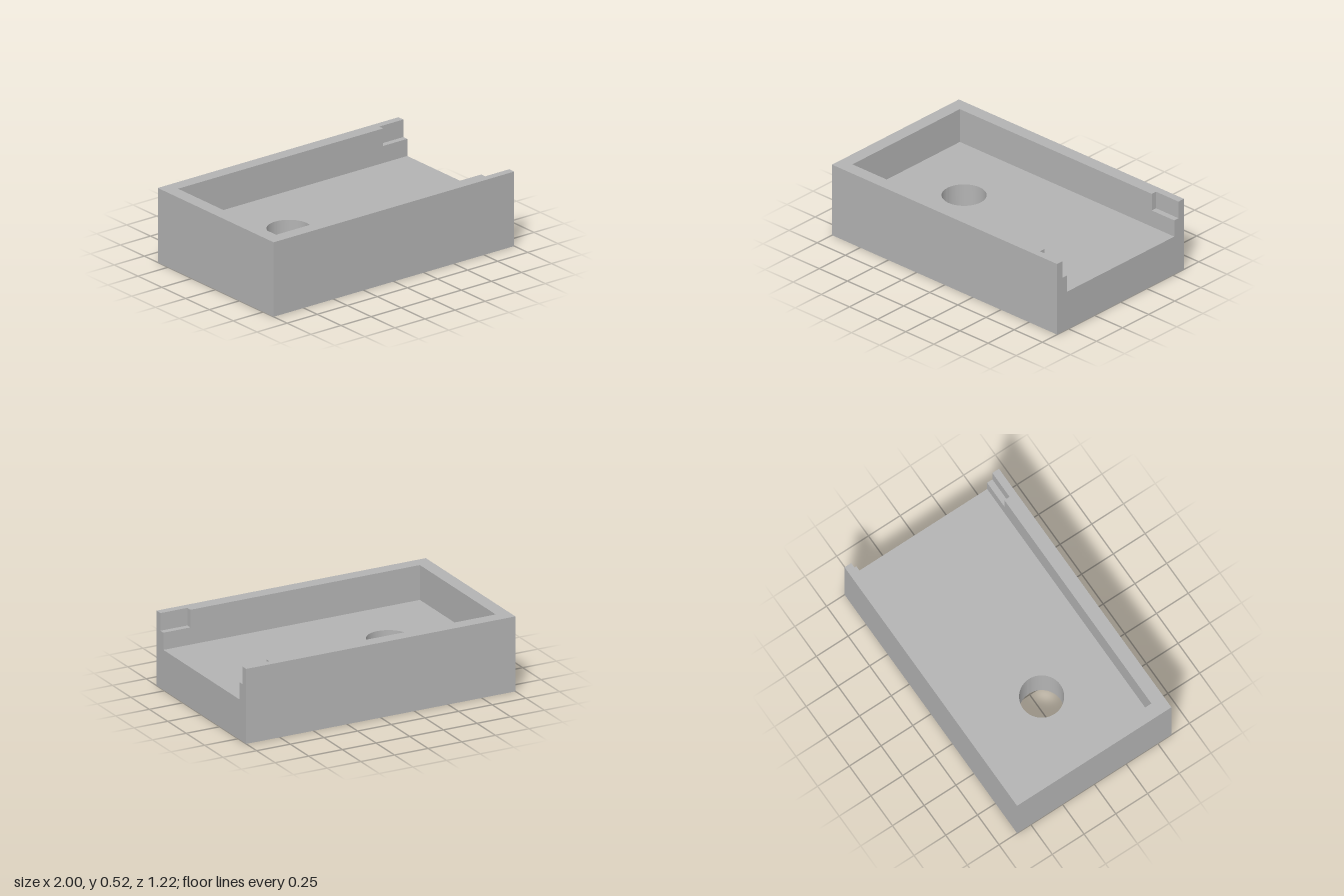
import * as THREE from 'three';
import { toCreasedNormals } from 'three/addons/utils/BufferGeometryUtils.js';

const W = 1, D = 0.608;                            // outer half-width and half-depth
const FLOOR = 0.28, LEDGE = 0.4, TOP = 0.523;      // layer heights
const INNER_X = -0.905, INNER_Z = 0.515;           // cavity, open towards +x
const NOTCH_X = 0.8, NOTCH_Z = 0.556;              // recesses at the open end

// Plan outline raised between two heights
function slab(shape, y0, y1) {
  const geo = new THREE.ExtrudeGeometry(shape, { depth: y1 - y0, bevelEnabled: false, curveSegments: 48 });
  geo.rotateX(-Math.PI / 2).translate(0, y0, 0);
  return toCreasedNormals(geo, 0.6);
}

// U-shaped wall outline; the inner edge is given for +z and mirrored to -z
function wallShape(inner) {
  const mirrored = inner.map(([x, z]) => [x, -z]).reverse();
  const points = [[W, -D], ...mirrored, ...inner, [W, D], [-W, D], [-W, -D]];
  return new THREE.Shape(points.map(([x, z]) => new THREE.Vector2(x, z)));
}

export function createModel() {
  const group = new THREE.Group();
  group.name = 'openEndedTray';
  const grey = new THREE.MeshStandardMaterial({ color: 0xb4b4b4 });
  grey.name = 'grey';

  const add = (name, shape, y0, y1) => {
    const mesh = new THREE.Mesh(slab(shape, y0, y1), grey);
    mesh.name = name;
    group.add(mesh);
  };

  // Thick floor with a round through-hole
  const floor = new THREE.Shape([[-W, -D], [W, -D], [W, D], [-W, D]].map(([x, z]) => new THREE.Vector2(x, z)));
  floor.holes.push(new THREE.Path().absarc(-0.39, 0, 0.147, 0, Math.PI * 2, true));
  add('floor', floor, 0, FLOOR);

  // Walls below the notches
  add('lowerWall', wallShape([[INNER_X, INNER_Z], [W, INNER_Z]]), FLOOR, LEDGE);

  // Walls with a notch cut in each free end
  add('notchedRim', wallShape([
    [INNER_X, INNER_Z], [NOTCH_X, INNER_Z], [NOTCH_X, NOTCH_Z], [W, NOTCH_Z],
  ]), LEDGE, TOP);

  return group;
}
